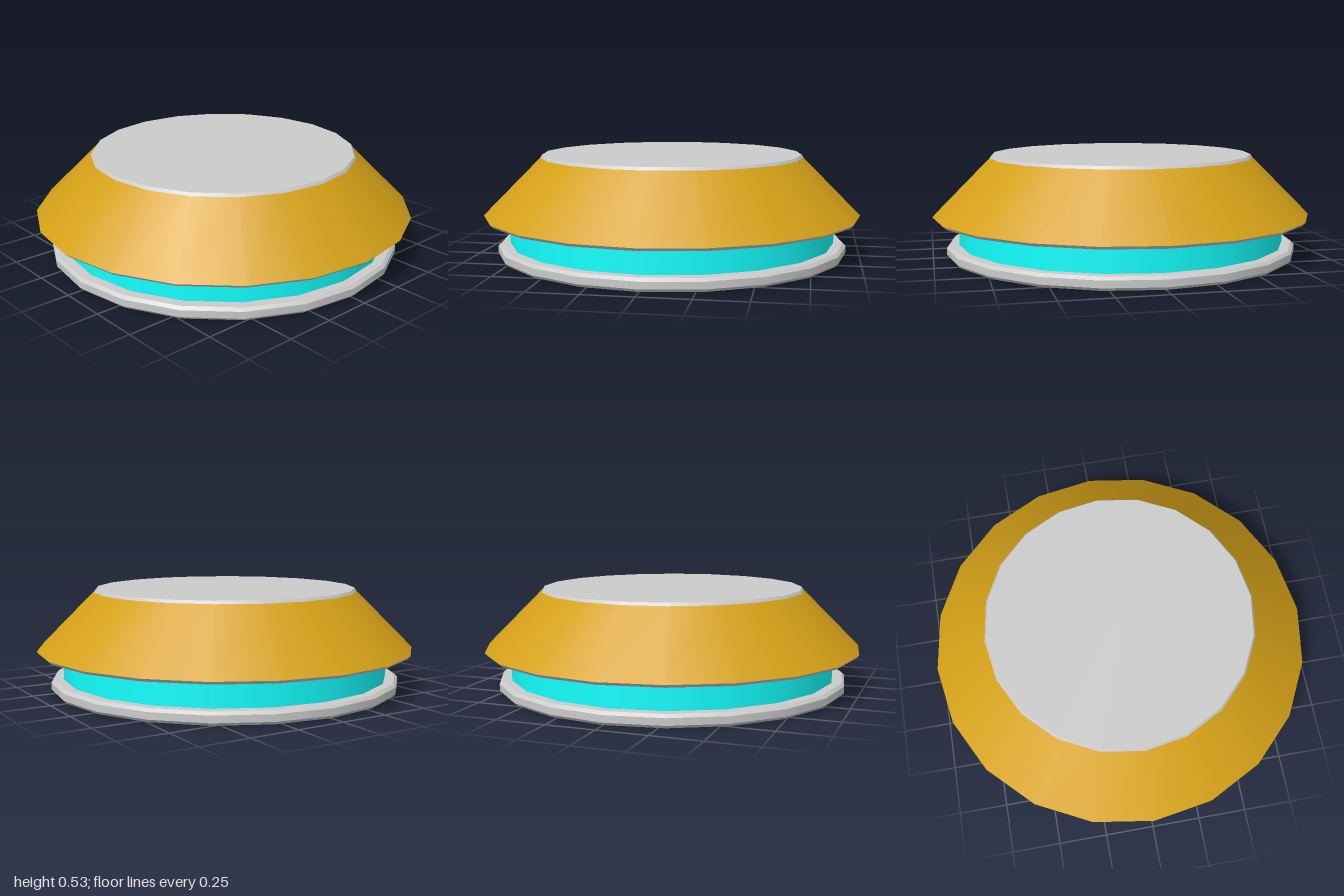
import * as THREE from 'three';

const SIDES = 20;
const grey = new THREE.MeshStandardMaterial({ color: 0xcccccc });
const gold = new THREE.MeshStandardMaterial({ color: 0xd4a017 });
const cyan = new THREE.MeshStandardMaterial({ color: 0x14ffff });

// Smooth conical band between two [radius, y] rings
function band(name, [r0, y0], [r1, y1], material) {
  const geometry = new THREE.CylinderGeometry(r1, r0, y1 - y0, SIDES, 1, true);
  const mesh = new THREE.Mesh(geometry, material);
  mesh.position.y = (y0 + y1) / 2;
  mesh.name = name;
  return mesh;
}

// Flat disc at height y, facing up (dir 1) or down (dir -1)
function disc(name, radius, y, dir) {
  const mesh = new THREE.Mesh(new THREE.CircleGeometry(radius, SIDES), grey);
  mesh.rotation.x = -dir * Math.PI / 2;
  mesh.position.y = y;
  mesh.name = name;
  return mesh;
}

export function createModel() {
  const model = new THREE.Group();
  model.name = 'roundPedestal';

  // Base plate with bevelled rims
  const base = new THREE.Group();
  base.name = 'basePlate';
  base.add(
    disc('baseUnderside', 0.915, 0, -1),
    band('baseLowerBevel', [0.915, 0], [0.93, 0.015], grey),
    band('baseRim', [0.93, 0.015], [0.93, 0.05], grey),
    band('baseUpperBevel', [0.93, 0.05], [0.915, 0.065], grey),
    disc('baseTop', 0.915, 0.065, 1),
  );

  // Recessed coloured ring between base and cap
  const ring = band('recessedRing', [0.865, 0.065], [0.865, 0.2], cyan);

  // Sloping cap with a thin bevel below and above
  const cap = new THREE.Group();
  cap.name = 'cap';
  cap.add(
    disc('capUnderside', 0.985, 0.2, -1),
    band('capLowerBevel', [0.985, 0.2], [1, 0.215], grey),
    band('capSlope', [1, 0.215], [0.7, 0.515], gold),
    band('capUpperBevel', [0.7, 0.515], [0.69, 0.53], grey),
    disc('capTop', 0.69, 0.53, 1),
  );

  model.add(base, ring, cap);
  return model;
}
